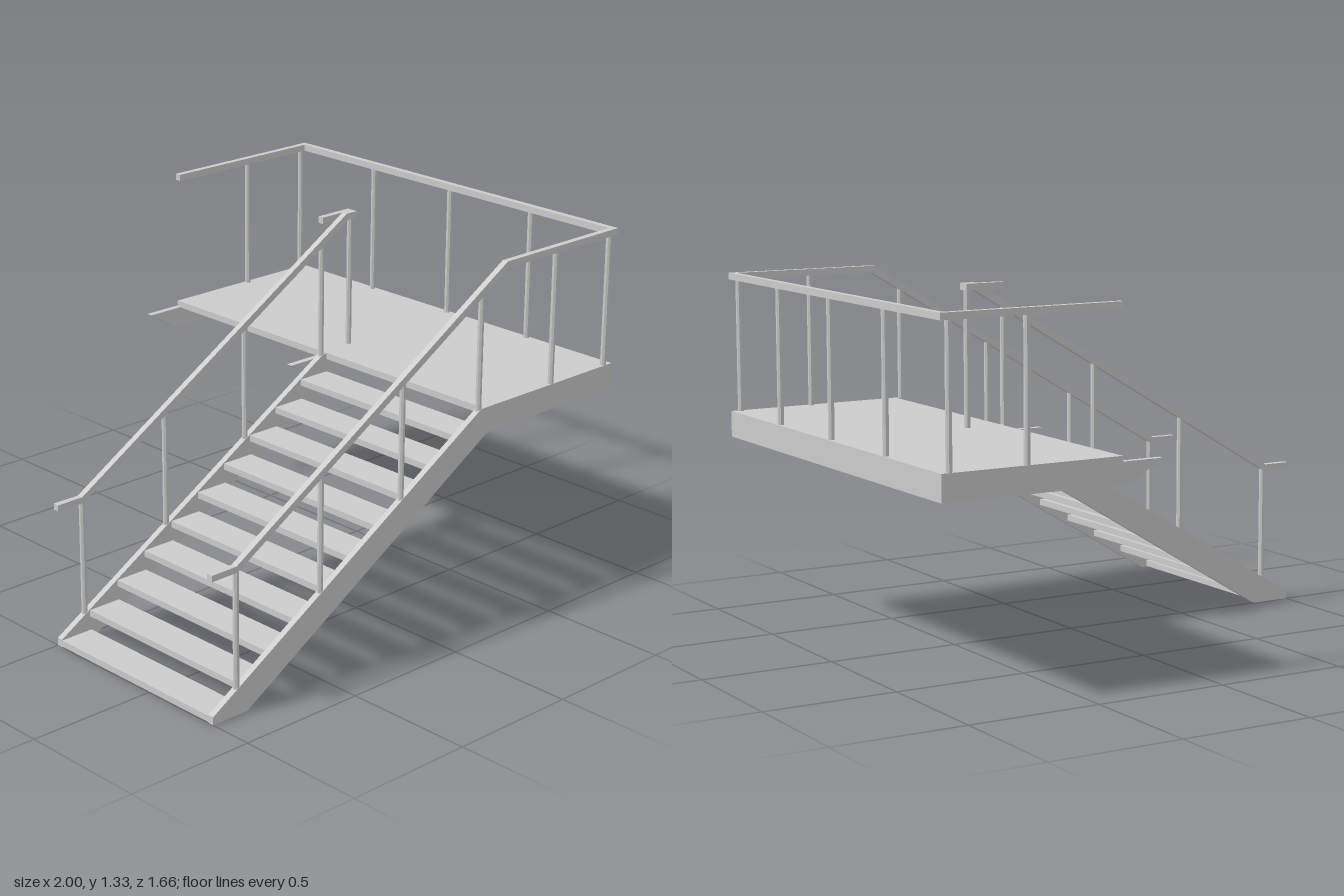
import * as THREE from 'three';

const material = new THREE.MeshStandardMaterial({ color: 0xcccccc, flatShading: true });
const BOARD = 0.024;
const EDGE = 0.83 - BOARD;

export function createModel() {
  const model = new THREE.Group();
  model.name = 'staircase';

  const add = (name, geometry) => {
    const mesh = new THREE.Mesh(geometry, material);
    mesh.name = name;
    model.add(mesh);
  };

  // Box given by its lower and upper limits
  const box = (name, x0, x1, y0, y1, z0, z1) => {
    const g = new THREE.BoxGeometry(x1 - x0, y1 - y0, z1 - z0);
    add(name, g.translate((x0 + x1) / 2, (y0 + y1) / 2, (z0 + z1) / 2));
  };

  // Side profile (x, y) given thickness along z
  const board = (name, points, z0) => {
    const shape = new THREE.Shape(points.map(([x, y]) => new THREE.Vector2(x, y)));
    const g = new THREE.ExtrudeGeometry(shape, { depth: BOARD, bevelEnabled: false });
    add(name, g.translate(0, 0, z0));
  };

  // Slim eight-sided baluster
  const post = (name, x, z, y0, y1) => {
    const g = new THREE.CylinderGeometry(0.0115, 0.0115, y1 - y0, 8);
    add(name, g.rotateY(Math.PI / 8).translate(x, (y0 + y1) / 2, z));
  };

  // Stringers: sloped board running into a level one
  const stringer = (name, endX, top, z0) => board(name, [
    [-1, 0], [-0.845, 0], [0.32, 0.702], [endX, 0.702],
    [endX, top], [0.285, top], [-1, 0.03],
  ], z0);
  stringer('outerStringer', 1, 0.8, EDGE);
  stringer('innerStringer', 0.453, 0.798, 0);

  // Level boards with a cut tip where the next flight begins
  const tipBoard = (name, endX, top, z0) => board(name, [
    [0.14, 0.78], [0.267, 0.702], [endX, 0.702],
    [endX, top], [0.3, top], [0.3, 0.78],
  ], z0);
  tipBoard('backFascia', 1, 0.8, -0.83);
  tipBoard('innerFascia', 0.453, 0.798, -BOARD);

  // Landing: thin deck inside the edge boards
  box('sideFascia', 1 - BOARD, 1, 0.702, 0.8, -EDGE, EDGE);
  box('landing', 0.3, 1 - BOARD, 0.775, 0.8, -EDGE, EDGE);

  // Treads
  for (let i = 0; i < 10; i++) {
    const x = -1 + i * 0.1297;
    const y = 0.003 + i * 0.0776;
    box('tread', x, x + 0.135, y, y + 0.024, BOARD, EDGE);
  }

  // Handrails
  const handrail = (name, endX, z0) => board(name, [
    [-1, 0.525], [-0.885, 0.525], [0.41, 1.3], [endX, 1.3],
    [endX, 1.325], [0.4, 1.325], [-0.892, 0.548], [-1, 0.548],
  ], z0);
  handrail('outerHandrail', 1, EDGE);
  handrail('innerHandrail', 0.453, 0);
  box('innerHandrailReturn', 0.3, 0.453, 1.3, 1.325, -BOARD, 0);
  box('sideHandrail', 1 - BOARD, 1, 1.3, 1.325, -EDGE, EDGE);
  box('backHandrail', 0.3, 1, 1.3, 1.325, -0.83, -EDGE);

  // Posts along the flight
  for (const z of [0.818, 0.012]) {
    for (let i = 0; i < 4; i++) {
      const x = -0.885 + i * 0.389;
      const base = Math.min(0.025 + (x + 1) * 0.599, 0.79);
      post('flightPost', x, z, base, 0.535 + (x + 0.885) * 0.5985);
    }
  }

  // Posts around the landing
  for (const z of [0.818, -0.818]) {
    post('landingPost', 0.67, z, 0.79, 1.305);
    post('cornerPost', 0.965, z, 0.79, 1.305);
  }
  for (const z of [0.417, 0, -0.415]) post('sidePost', 0.987, z, 0.79, 1.305);
  post('innerEndPost', 0.44, 0, 0.79, 1.305);

  return model;
}
